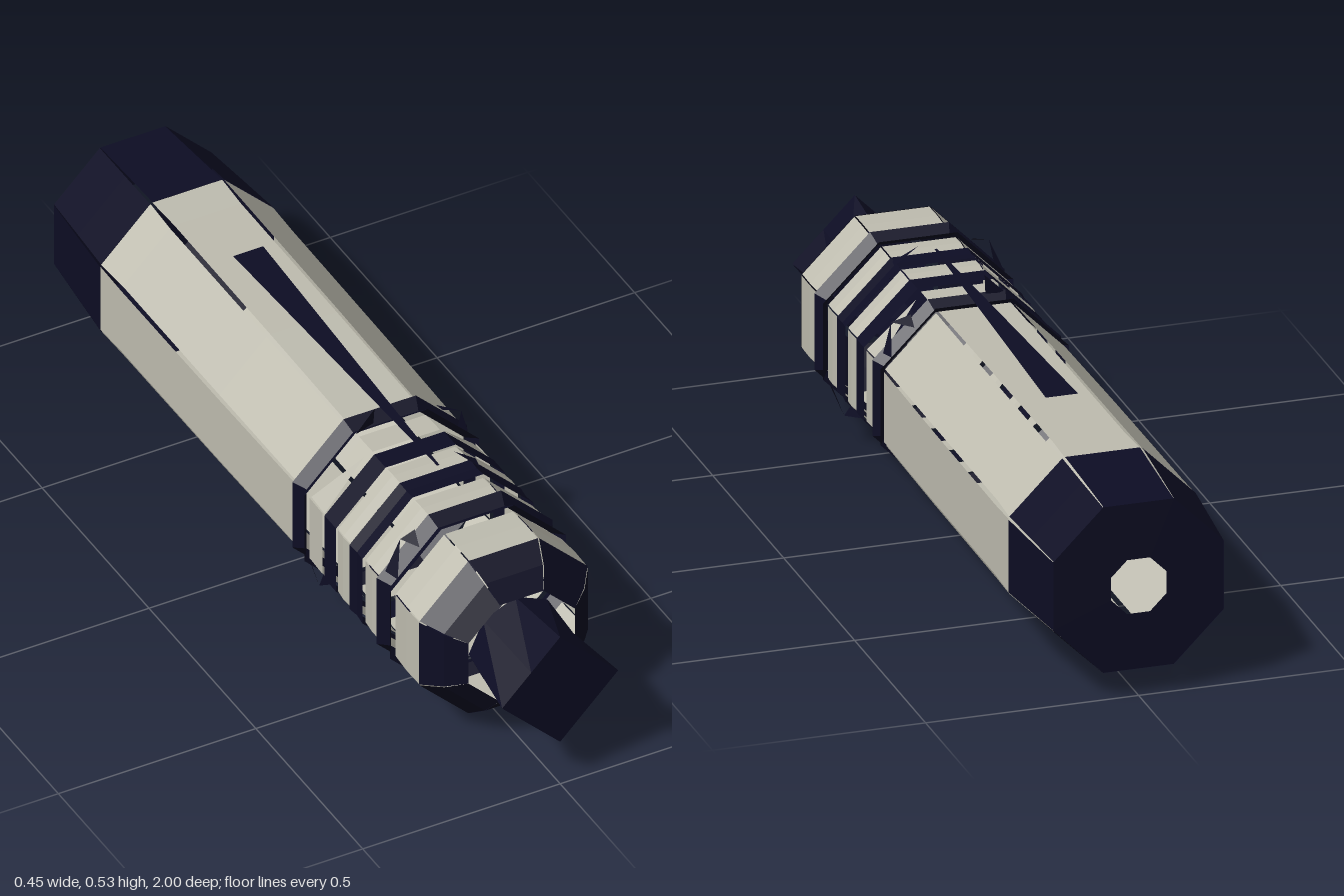
import * as THREE from 'three';

const CY = 0.265; // height of the long axis
const TAN = Math.tan(Math.PI / 8);

const dark = new THREE.MeshStandardMaterial({ color: 0x0d0d24, side: THREE.DoubleSide });
dark.name = 'midnight navy';
const light = new THREE.MeshStandardMaterial({ color: 0xbfbdb0, side: THREE.DoubleSide });
light.name = 'warm grey';

// Flat-shaded mesh from a list of triangles, each made of three [x, y, z] points
function facets(name, material, triangles) {
  const geo = new THREE.BufferGeometry();
  geo.setAttribute('position', new THREE.Float32BufferAttribute(triangles.flat(2), 3));
  geo.computeVertexNormals();
  const mesh = new THREE.Mesh(geo, material);
  mesh.name = name;
  return mesh;
}

// Point on octagon side k: apothem a, s = -1..1 along the side
function sidePoint(k, z, a, s) {
  const t = k * Math.PI / 4, w = a * TAN * s;
  return [Math.cos(t) * a - Math.sin(t) * w, Math.sin(t) * a + Math.cos(t) * w, z];
}

// Octagonal sleeve of separate panels; sections run in +z as [z, apothem, fill of side]
function sleeve(name, material, sections, sides = [0, 1, 2, 3, 4, 5, 6, 7]) {
  const tris = [];
  for (const k of sides) {
    for (let i = 0; i + 1 < sections.length; i++) {
      const [z0, a0, f0 = 1] = sections[i], [z1, a1, f1 = 1] = sections[i + 1];
      const a = sidePoint(k, z0, a0, -f0), b = sidePoint(k, z0, a0, f0);
      const c = sidePoint(k, z1, a1, f1), d = sidePoint(k, z1, a1, -f1);
      tris.push([a, b, c], [a, c, d]);
    }
  }
  return facets(name, material, tris);
}

export function createModel() {
  const group = new THREE.Group();
  group.name = 'hilt';
  const axis = new THREE.Group();
  axis.name = 'hiltParts';
  axis.position.y = CY;
  group.add(axis);

  // Long grip and tapered end cap with an open centre
  axis.add(sleeve('grip', light, [[-0.745, 0.22, 0.97], [-0.65, 0.219, 0.93], [-0.2, 0.217, 0.94], [0.155, 0.213, 0.96]]));
  axis.add(sleeve('endCap', dark, [[-1, 0.2, 0.99], [-0.87, 0.211, 0.97], [-0.745, 0.221, 0.96]]));
  axis.add(sleeve('endPlate', dark, [[-1, 0.065], [-0.999, 0.2]]));

  // Light segments between the bands
  for (const [z0, z1] of [[0.35, 0.41], [0.48, 0.55], [0.62, 0.735]]) {
    axis.add(sleeve('neckSegment', light, [[z0, 0.211, 0.98], [(z0 + z1) / 2, 0.214, 0.98], [z1, 0.213, 0.98]]));
  }

  // Broken segment: whole straight sides, only slivers on the diagonals
  axis.add(sleeve('openSegment', light, [[0.215, 0.21, 0.97], [0.28, 0.212, 0.97]], [0, 2, 4, 6]));
  const slivers = [1, 3, 5, 7].map((k) => {
    const s = k % 4 === 1 ? -1 : 1;
    const tri = [sidePoint(k, 0.215, 0.205, s), sidePoint(k, 0.285, 0.21, s), sidePoint(k, 0.27, 0.21, -0.8 * s)];
    return s < 0 ? [tri[0], tri[2], tri[1]] : tri;
  });
  axis.add(facets('segmentSlivers', light, slivers));

  // Dark bands: grooved at the ends, plain in the middle
  for (const [z0, z1, edge, mid] of [
    [0.155, 0.212, 0.221, 0.2], [0.293, 0.347, 0.214, 0.214],
    [0.415, 0.475, 0.217, 0.214], [0.553, 0.615, 0.223, 0.203],
  ]) {
    axis.add(sleeve('band', dark, [[z0, edge], [(z0 + z1) / 2, mid], [z1, edge]]));
  }

  // Front collar
  axis.add(sleeve('collar', dark, [[0.735, 0.214, 0.98], [0.785, 0.178, 0.98], [0.82, 0.135, 1]]));

  // Emitter: octagon at the back opening into a diamond face
  const ring = (z, even, odd) => [...Array(8)].map((_, k) => {
    const r = k % 2 ? odd : even, t = k * Math.PI / 4;
    return [r * Math.cos(t), r * Math.sin(t), z];
  });
  const back = ring(0.79, 0.118, 0.115), front = ring(1, 0.147, 0.147 * Math.SQRT1_2);
  const emitter = [];
  for (let k = 0; k < 8; k++) {
    const n = (k + 1) % 8;
    emitter.push([back[k], back[n], front[n]], [back[k], front[n], front[k]], [front[k], front[n], [0, 0, 1]]);
  }
  axis.add(facets('emitter', dark, emitter));

  // Tapered strips and sharp fins, repeated half a turn around the axis
  for (const turn of [0, Math.PI]) {
    const half = new THREE.Group();
    half.name = turn ? 'lowerTrim' : 'upperTrim';
    half.rotation.z = turn;
    const y = 0.244;
    half.add(facets('taperedStrip', dark, [
      [[-0.038, y, -0.46], [-0.003, y, 0.43], [0.038, y, -0.46]],
      [[0.038, y, -0.46], [-0.003, y, 0.43], [0.003, y, 0.43]],
    ]));
    half.add(facets('bandFins', dark, [
      [[-0.09, 0.215, 0.21], [-0.04, 0.222, 0.2], [-0.04, 0.265, 0.205]],
      [[0.135, 0.195, 0.2], [0.18, 0.18, 0.205], [0.14, 0.18, 0.16]],
      [[0.18, 0.18, 0.205], [0.2, 0.11, 0.2], [0.19, 0.11, 0.17]],
      [[-0.13, 0.2, 0.56], [-0.17, 0.19, 0.565], [-0.14, 0.18, 0.6]],
      [[-0.17, 0.19, 0.565], [-0.205, 0.11, 0.56], [-0.195, 0.11, 0.6]],
      [[0.045, 0.26, 0.42], [0.1, 0.22, 0.42], [0.095, 0.218, 0.45]],
    ]));
    axis.add(half);
  }
  return group;
}
